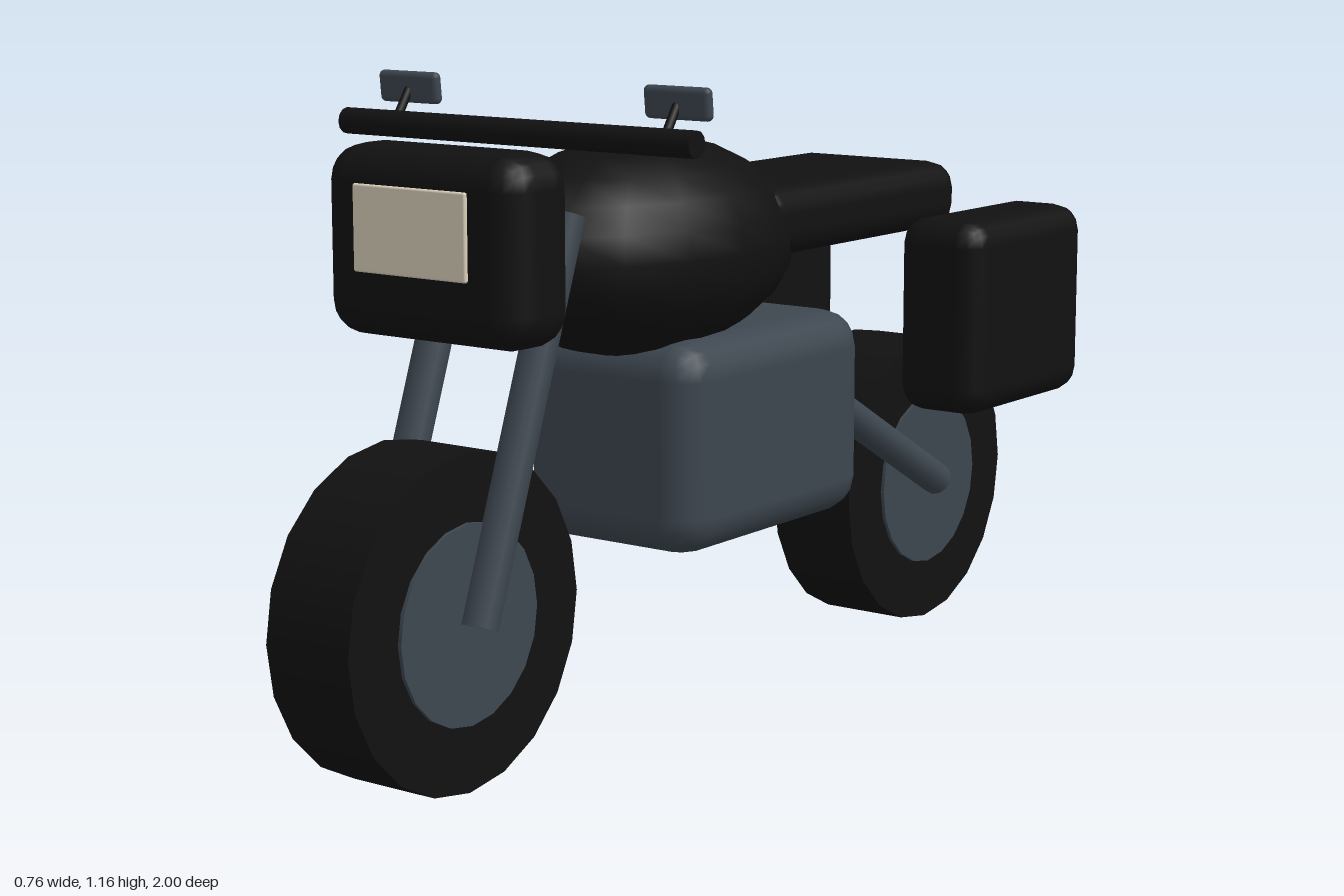
import * as THREE from 'three';
import { RoundedBoxGeometry } from 'three/addons/geometries/RoundedBoxGeometry.js';

function material(name, color) {
  const m = new THREE.MeshStandardMaterial({ color });
  m.name = name;
  return m;
}

export function createModel() {
  const black = material('black', 0x111111);
  const steel = material('darkSteel', 0x3d464f);
  const cream = material('lampCream', 0xdcd2bc);
  const bike = new THREE.Group();
  bike.name = 'motorcycle';

  const add = (name, geometry, mat, x = 0, y = 0, z = 0) => {
    const mesh = new THREE.Mesh(geometry, mat);
    mesh.name = name;
    mesh.position.set(x, y, z);
    bike.add(mesh);
    return mesh;
  };
  const box = (name, mat, [w, h, d], r, [x, y, z]) =>
    add(name, new RoundedBoxGeometry(w, h, d, 2, r), mat, x, y, z);

  // Straight round bar between two points
  const bar = (name, mat, r, from, to, sides = 12) => {
    const a = new THREE.Vector3(...from), b = new THREE.Vector3(...to);
    const dir = b.clone().sub(a);
    const mesh = add(name, new THREE.CylinderGeometry(r, r, dir.length(), sides), mat);
    mesh.position.copy(a).add(b).multiplyScalar(0.5);
    mesh.quaternion.setFromUnitVectors(new THREE.Vector3(0, 1, 0), dir.normalize());
    return mesh;
  };

  // Wheels: tyre with a slightly wider hub disc
  for (const [end, z] of [['front', 0.713], ['rear', -0.713]]) {
    bar(end + 'Tyre', black, 0.287, [-0.088, 0.287, z], [0.088, 0.287, z], 20);
    bar(end + 'Hub', steel, 0.171, [-0.095, 0.287, z], [0.095, 0.287, z], 20);
  }

  // Body
  box('engine', steel, [0.386, 0.385, 0.57], 0.07, [0, 0.5, -0.045]);
  add('tank', new THREE.SphereGeometry(1, 16, 12), black, 0, 0.845, 0.13).scale.set(0.23, 0.195, 0.36);
  box('seat', black, [0.37, 0.13, 0.66], 0.05, [0, 0.875, -0.34]);

  // Headlight
  box('headlightHousing', black, [0.424, 0.32, 0.164], 0.06, [0, 0.9, 0.649]);
  box('headlightLens', cream, [0.24, 0.145, 0.009], 0.004, [0, 0.928, 0.741]);

  // Handlebar
  bar('handlebar', black, 0.023, [-0.377, 1.07, 0.475], [0.377, 1.07, 0.475]);

  // Mirrored side parts
  for (const [side, s] of [['left', 1], ['right', -1]]) {
    bar(side + 'Fork', steel, 0.032, [s * 0.113, 0.285, 0.713], [s * 0.113, 0.94, 0.478]);
    bar(side + 'SwingArm', steel, 0.032, [s * 0.113, 0.545, -0.25], [s * 0.113, 0.287, -0.713]);
    box(side + 'Pannier', black, [0.182, 0.37, 0.42], 0.05, [s * 0.289, 0.67, -0.615]);
    bar(side + 'MirrorStem', black, 0.008, [s * 0.29, 1.065, 0.45], [s * 0.29, 1.125, 0.41], 8);
    box(side + 'Mirror', steel, [0.134, 0.056, 0.02], 0.01, [s * 0.29, 1.128, 0.406]).rotation.x = 0.1;
  }
  return bike;
}
